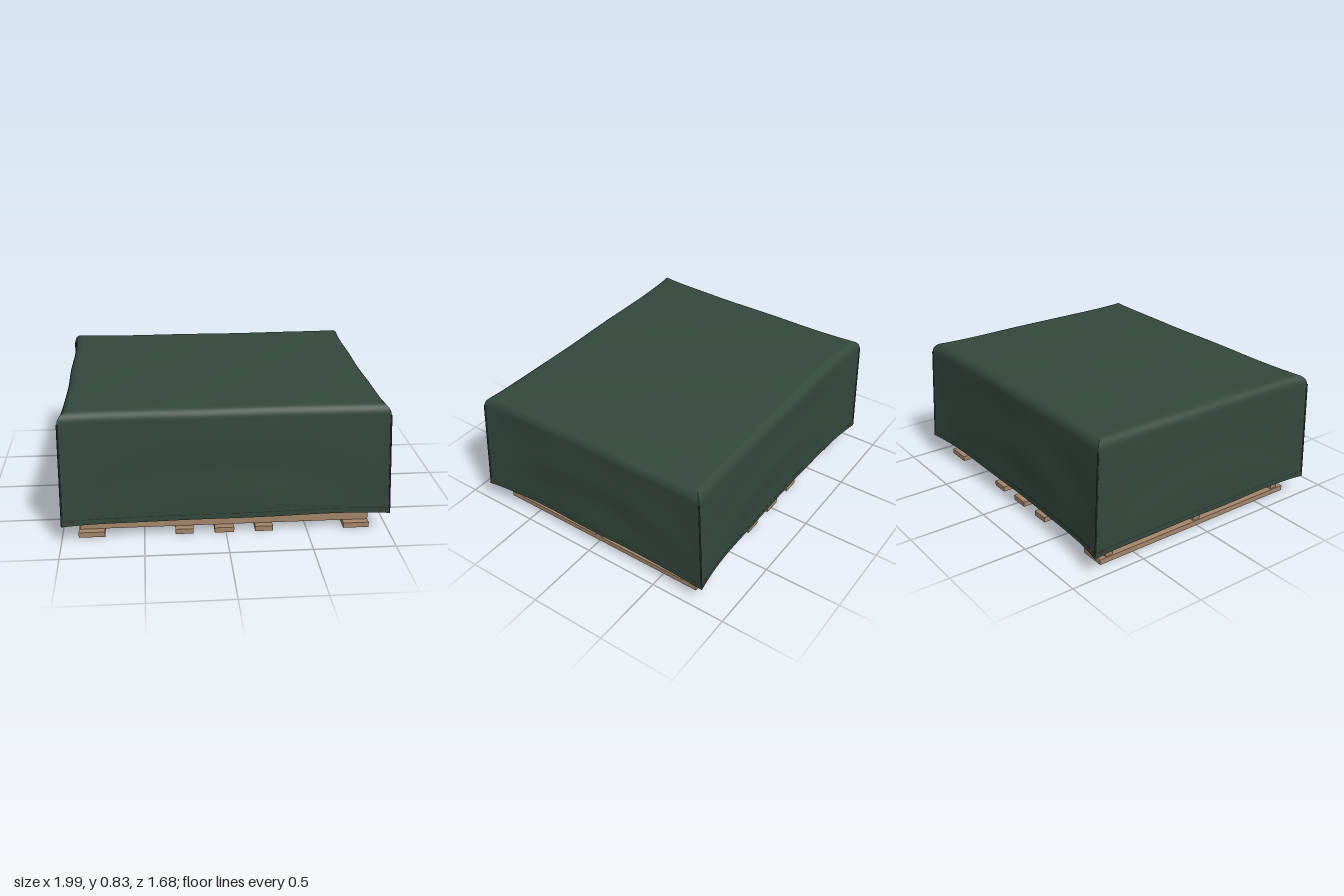
import * as THREE from 'three';

const green = new THREE.MeshStandardMaterial({ color: 0x34483c, side: THREE.DoubleSide });
green.name = 'tarpGreen';
const wood = new THREE.MeshStandardMaterial({ color: 0xa3866a });
wood.name = 'palletWood';
const dark = new THREE.MeshStandardMaterial({ color: 0x1d2822, side: THREE.DoubleSide });
dark.name = 'stitchDark';
const brass = new THREE.MeshStandardMaterial({ color: 0x8a7558 });
brass.name = 'eyeletBrass';

const lerp = THREE.MathUtils.lerp;
const HEM = 0.13, SHOULDER = 0.77, TOP = 0.832, ROUND = 0.055;

// Corners [x, z] at hem and shoulder, in order front left edge, front right, back right, back left
const hemCorners = [[-0.99, 0.83], [0.99, 0.835], [0.97, -0.832], [-0.98, -0.832]];
const topCorners = [[-0.98, 0.815], [0.965, 0.81], [0.962, -0.8], [-0.975, -0.805]];
// Outward direction, tangent, distance of the middle of the wall, sharpness of the corner flare
const sides = [
  { name: 'tarpFront', n: [0, 1], t: [1, 0], mid: 0.795, power: 6 },
  { name: 'tarpRight', n: [1, 0], t: [0, -1], mid: 0.948, power: 4 },
  { name: 'tarpBack', n: [0, -1], t: [-1, 0], mid: 0.783, power: 4 },
  { name: 'tarpLeft', n: [-1, 0], t: [0, 1], mid: 0.958, power: 6 },
];
const dot = (a, b) => a[0] * b[0] + a[1] * b[1];

// Point on one wall: u runs -1..1 along it, h 0..1 from hem to shoulder, inset draws it inward
function wallPoint(k, u, h, inset = 0, out = 0) {
  const { n, t, mid, power } = sides[k];
  const corner = (i) => [0, 1].map((a) => lerp(hemCorners[i % 4][a], topCorners[i % 4][a], h));
  const a = corner(k), b = corner(k + 1);
  const end = u < 0 ? a : b;
  const along = lerp(dot(a, t) + inset, dot(b, t) - inset, (u + 1) / 2);
  const calm = (1 - u * u) * Math.sin(Math.PI * h);
  const swag = Math.sin(9 * (h + 0.45 * u * u) + k * 1.7) * 0.006 * calm
    + Math.sin(u * 7 + k * 2 + h * 3) * 0.003 * (1 - u * u);
  const depth = mid + (dot(end, n) - mid) * Math.abs(u) ** power + swag - inset + out;
  const x = t[0] * along + n[0] * depth, z = t[1] * along + n[1] * depth;
  const low = HEM + 0.01 * x - 0.008 * (1 - u * u);
  return [x, lerp(low, SHOULDER, h), z];
}

// Grid surface from a function of column and row
function gridGeometry(cols, rows, point) {
  const pos = [], index = [];
  for (let j = 0; j <= rows; j++) {
    for (let i = 0; i <= cols; i++) {
      pos.push(...point(i / cols, j));
      if (i < cols && j < rows) {
        const a = j * (cols + 1) + i, c = a + cols + 1;
        index.push(a, a + 1, c + 1, a, c + 1, c);
      }
    }
  }
  const g = new THREE.BufferGeometry();
  g.setAttribute('position', new THREE.Float32BufferAttribute(pos, 3));
  g.setIndex(index);
  g.computeVertexNormals();
  return g;
}

// Wall, rounded shoulder, then a quarter of the top running in to the centre
const WALL = 18, BEND = 7, ROOF = 12;
function tarpPoint(k, s, j) {
  const u = s * 2 - 1;
  if (j <= WALL) return wallPoint(k, u, j / WALL);
  const bend = Math.min(1, (j - WALL) / BEND) * Math.PI / 2;
  const p = wallPoint(k, u, 1, ROUND * (1 - Math.cos(bend)));
  p[1] = SHOULDER + (TOP - SHOULDER) * Math.sin(bend);
  const r = Math.max(0, (j - WALL - BEND) / ROOF);
  p[0] *= 1 - r;
  p[2] *= 1 - r;
  p[1] += Math.sin(bend) ** 4 * 0.003 * Math.sin(p[0] * 8 + 1) * Math.cos(p[2] * 6);
  return p;
}

export function createModel() {
  const model = new THREE.Group();
  const tarp = new THREE.Group();
  tarp.name = 'tarp';
  const pallet = new THREE.Group();
  pallet.name = 'pallet';
  model.add(tarp, pallet);

  const add = (group, name, geometry, material, x = 0, y = 0, z = 0) => {
    const mesh = new THREE.Mesh(geometry, material);
    mesh.name = name;
    mesh.position.set(x, y, z);
    group.add(mesh);
    return mesh;
  };

  sides.forEach((side, k) => {
    add(tarp, side.name, gridGeometry(48, WALL + BEND + ROOF, (s, j) => tarpPoint(k, s, j)), green);
    // Folded hem with its stitch line
    const strip = (h0, h1, out) => gridGeometry(48, 1, (s, j) => wallPoint(k, s * 2 - 1, j ? h1 : h0, 0, out));
    add(tarp, 'hem', strip(0, 0.05, 0.004), green);
    add(tarp, 'stitchLine', strip(0.05, 0.054, 0.005), dark);
    // Eyelets near both corners
    for (const u of [-0.95, 0.95]) {
      const eyelet = add(tarp, 'eyelet', new THREE.TorusGeometry(0.009, 0.0035, 6, 14), brass,
        ...wallPoint(k, u, 0.045, 0, 0.006));
      eyelet.rotation.y = Math.atan2(side.n[0], side.n[1]);
    }
  });

  // Seams along the four vertical corners
  for (let k = 0; k < 4; k++) {
    const path = [0, 0.25, 0.5, 0.75, 1].map((h) => new THREE.Vector3(...wallPoint(k, -1, h)));
    add(tarp, 'cornerSeam', new THREE.TubeGeometry(new THREE.CatmullRomCurve3(path), 16, 0.005, 6), green);
  }

  // Bottom boards: [x, width]
  for (const [x, w] of [[-0.82, 0.16], [-0.255, 0.11], [-0.01, 0.12], [0.235, 0.11], [0.81, 0.16]]) {
    add(pallet, 'bottomBoard', new THREE.BoxGeometry(w, 0.033, 1.49), wood, x, 0.0165, 0.005);
  }
  // Stringers
  for (const z of [0.68, 0.005, -0.67]) {
    add(pallet, 'stringer', new THREE.BoxGeometry(1.78, 0.125, 0.05), wood, 0, 0.0955, z);
  }
  // Deck boards and the load resting on them
  for (let i = 0; i < 11; i++) {
    add(pallet, 'deckBoard', new THREE.BoxGeometry(0.145, 0.033, 1.5), wood, -0.815 + i * 0.163, 0.1745, 0.005);
  }
  add(pallet, 'loadBase', new THREE.BoxGeometry(1.78, 0.03, 1.48), wood, 0, 0.206, 0.005);

  return model;
}
